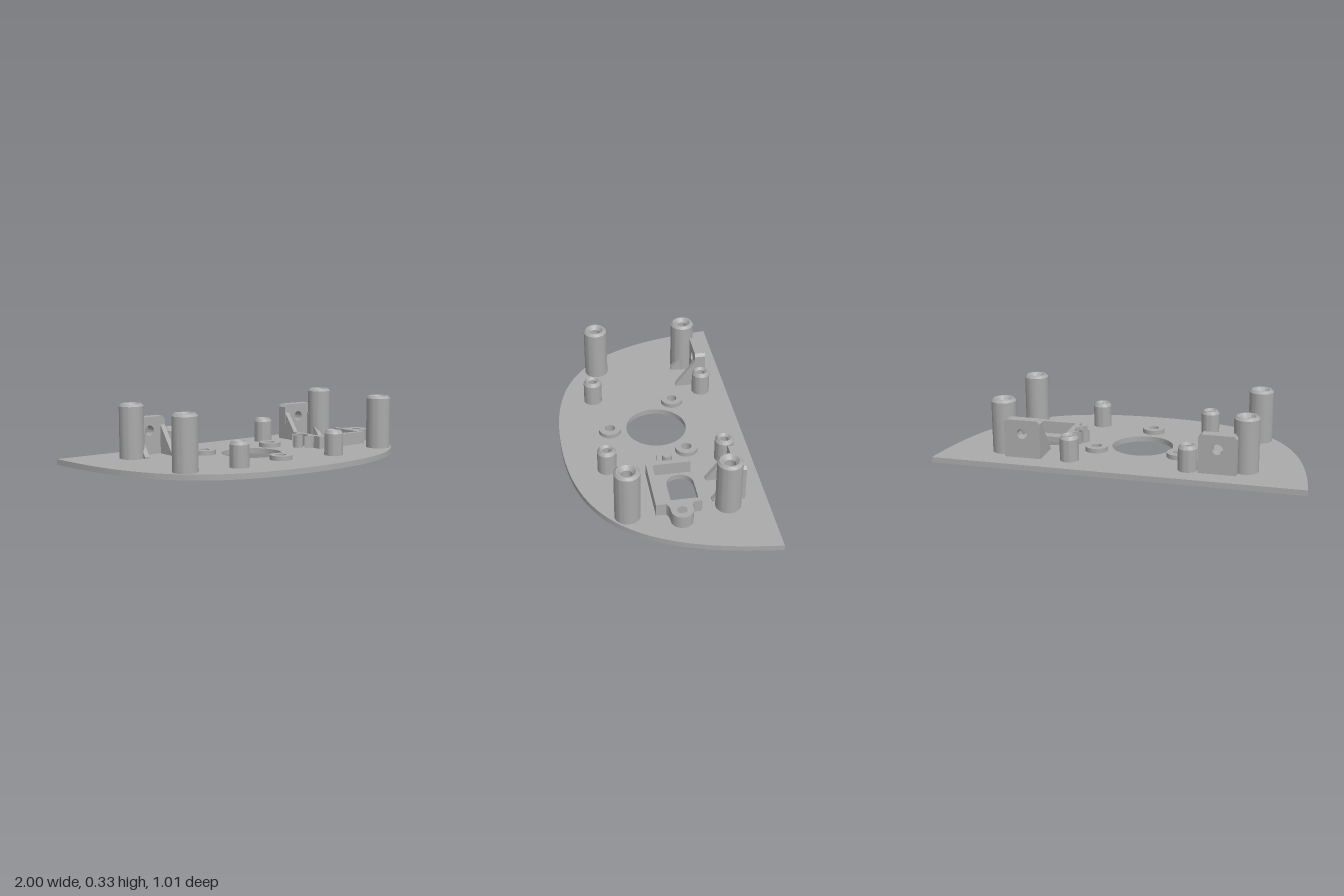
import * as THREE from 'three';
import { toCreasedNormals } from 'three/addons/utils/BufferGeometryUtils.js';

const T = 0.03; // base plate thickness
const grey = new THREE.MeshStandardMaterial({ color: 0xaaaaaa });
grey.name = 'grey plastic';

function add(parent, name, geometry) {
  const mesh = new THREE.Mesh(toCreasedNormals(geometry, 0.5), grey);
  mesh.name = name;
  parent.add(mesh);
  return mesh;
}

// Extrude a shape drawn in (x, -z) upward from y0 to y1
function slab(shape, y0, y1) {
  return new THREE.ExtrudeGeometry(shape, { depth: y1 - y0, bevelEnabled: false, curveSegments: 32 })
    .rotateX(-Math.PI / 2).translate(0, y0, 0);
}

function circle(x, z, r) {
  return new THREE.Path().absarc(x, -z, r, 0, Math.PI * 2, true);
}

function lathe(points) {
  return new THREE.LatheGeometry(points.map(([r, y]) => new THREE.Vector2(r, y)), 40);
}

export function createModel() {
  const group = new THREE.Group();
  group.name = 'mountingPlate';
  const rings = [[-0.275, -0.17], [0.18, -0.17], [-0.047, 0.222]];

  // Base plate with its round, slotted and screw openings
  const plate = new THREE.Shape();
  plate.moveTo(-1, 0.508);
  plate.bezierCurveTo(-0.93, -0.2, -0.68, -0.505, 0, -0.505);
  plate.bezierCurveTo(0.68, -0.505, 0.93, -0.2, 1, 0.508);
  plate.closePath();
  const slot = new THREE.Path();
  slot.absarc(0.457, 0.085, 0.073, Math.PI / 2, Math.PI * 1.5, false);
  slot.absarc(0.563, 0.085, 0.073, -Math.PI / 2, Math.PI / 2, false);
  slot.closePath();
  plate.holes.push(circle(-0.047, -0.04, 0.168), slot, ...rings.map(([x, z]) => circle(x, z, 0.028)));
  add(group, 'basePlate', slab(plate, 0, T));

  // Low spacer rings around the large opening
  for (const [x, z] of rings) {
    const ring = new THREE.Shape().absarc(x, -z, 0.062, 0, Math.PI * 2, false);
    ring.holes.push(circle(x, z, 0.028));
    add(group, 'spacerRing', slab(ring, T, 0.055));
  }

  // Tall screw posts with countersunk bores
  for (const x of [-0.66, 0.66]) for (const z of [-0.298, 0.225]) {
    add(group, 'tallPost', lathe([[0.067, T], [0.067, 0.313], [0.055, 0.326],
      [0.046, 0.326], [0.028, 0.305], [0.028, 0.16], [0, 0.16]])).position.set(x, 0, z);
  }

  // Short screw posts
  for (const x of [-0.365, 0.275]) for (const z of [-0.358, 0.28]) {
    add(group, 'shortPost', lathe([[0.051, T], [0.051, 0.15], [0.038, 0.168],
      [0.034, 0.168], [0.022, 0.155], [0.022, 0.09], [0, 0.09]])).position.set(x, 0, z);
  }

  // U-shaped socket frame, open at the back
  const socket = new THREE.Group();
  socket.name = 'socketFrame';
  group.add(socket);
  const frame = new THREE.Shape([
    [0.342, 0.157], [0.342, -0.083], [0.684, -0.083], [0.684, 0.157],
    [0.657, 0.157], [0.657, -0.05], [0.369, -0.05], [0.369, 0.157],
  ].map(([x, y]) => new THREE.Vector2(x, y)));
  add(socket, 'socketWall', slab(frame, T, 0.1));

  // Screw ears either side of the socket
  for (const s of [-1, 1]) {
    const cx = 0.513 + s * 0.225, wall = 0.513 + s * 0.171, a = s * Math.PI / 2;
    const ear = new THREE.Shape();
    ear.moveTo(wall, 0.043 + s * 0.075);
    ear.quadraticCurveTo(wall + s * 0.012, 0.043 + s * 0.058, cx, 0.043 + s * 0.058);
    ear.absarc(cx, 0.043, 0.058, Math.PI / 2 * s, -a, s > 0);
    ear.quadraticCurveTo(wall + s * 0.012, 0.043 - s * 0.058, wall, 0.043 - s * 0.075);
    ear.closePath();
    ear.holes.push(circle(cx, -0.043, 0.027));
    add(socket, 'socketEar', slab(ear, T, 0.1));
  }

  // Upright brackets with a cross hole and two triangular gussets
  for (const s of [-1, 1]) {
    const bracket = new THREE.Group();
    bracket.name = s < 0 ? 'rightBracket' : 'leftBracket';
    bracket.position.x = s * 0.526;
    group.add(bracket);
    const panel = new THREE.Shape([
      [-0.1, T], [0.1, T], [0.1, 0.222], [0.084, 0.238], [-0.084, 0.238], [-0.1, 0.222],
    ].map(([x, y]) => new THREE.Vector2(x, y)));
    panel.holes.push(new THREE.Path().absarc(0, 0.163, 0.028, 0, Math.PI * 2, true));
    add(bracket, 'bracketPanel', new THREE.ExtrudeGeometry(panel,
      { depth: 0.06, bevelEnabled: false, curveSegments: 24 }).translate(0, 0, -0.396));

    for (const x of [-0.085, 0.085]) {
      const gusset = new THREE.Shape([[0.34, T], [0.222, T], [0.222, 0.04], [0.34, 0.195]]
        .map(([d, y]) => new THREE.Vector2(d, y)));
      add(bracket, 'bracketGusset', new THREE.ExtrudeGeometry(gusset,
        { depth: 0.028, bevelEnabled: false }).rotateY(Math.PI / 2).translate(x - 0.014, 0, 0));
    }
  }
  return group;
}
